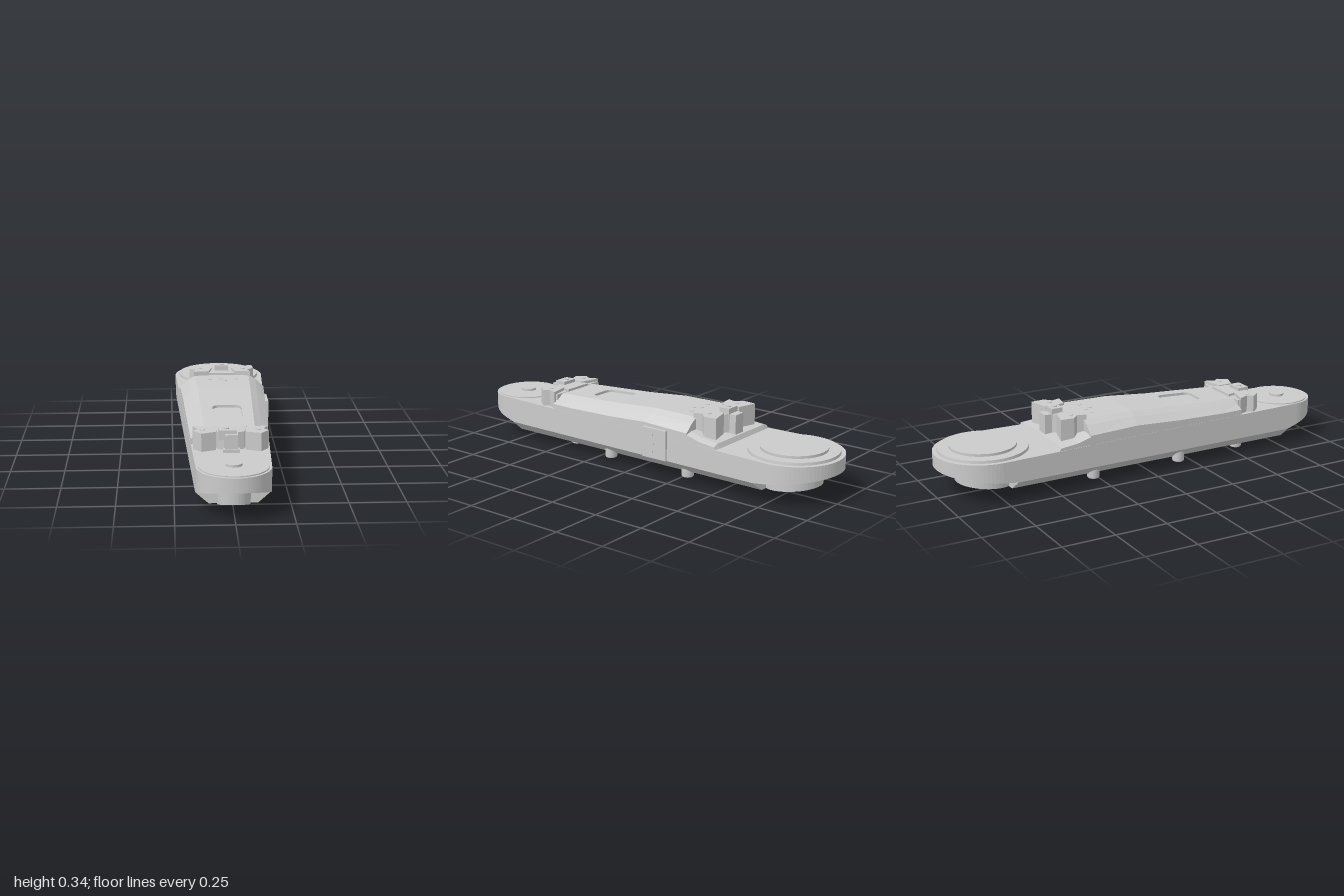
import * as THREE from 'three';

const grey = new THREE.MeshStandardMaterial({ color: 0xcccccc });
const halfWidth = (z) => 0.1955 - 0.0422 * z;   // tapering plan outline
const bottomY = (z) => 0.033 - 0.01 * z;        // slightly sloping underside
const sideLowY = (z) => 0.086 - 0.013 * z;      // lower edge of the side walls
const FRONT = { s: 1, z: 0.84, r: 0.16, join: 0.8 };
const REAR = { s: -1, z: -0.772, r: 0.228, join: -0.7 };

// Skin over a row of equal rings of [x, y, z]; faces listed in skip are left open
function loft(rings, caps, skip = () => false) {
  const pos = [], n = rings[0].length;
  const tri = (a, b, c) => pos.push(...a, ...b, ...c);
  for (let k = 0; k < rings.length - 1; k++) {
    for (let i = 0; i < n; i++) {
      if (skip(k, i)) continue;
      const j = (i + 1) % n;
      const a = rings[k][i], b = rings[k][j], c = rings[k + 1][j], d = rings[k + 1][i];
      tri(a, d, c);
      tri(a, c, b);
    }
  }
  if (caps) {
    const f = rings[0], l = rings[rings.length - 1];
    for (let i = 1; i < n - 1; i++) {
      tri(f[0], f[i], f[i + 1]);
      tri(l[0], l[i + 1], l[i]);
    }
  }
  const g = new THREE.BufferGeometry();
  g.setAttribute('position', new THREE.Float32BufferAttribute(pos, 3));
  g.computeVertexNormals();
  return g;
}

// Flat plate drawn in (x, z), its upper face at y = top(z)
function plate(points, holes, depth, top) {
  const shape = new THREE.Shape(points.map((p) => new THREE.Vector2(...p)));
  shape.holes.push(...holes);
  const g = new THREE.ExtrudeGeometry(shape, { depth, bevelEnabled: false, curveSegments: 12 });
  g.rotateX(Math.PI / 2);
  const p = g.attributes.position;
  for (let i = 0; i < p.count; i++) p.setY(i, p.getY(i) + top(p.getZ(i)));
  g.computeVertexNormals();
  return g;
}

const ellipse = (x, z, rx, rz) => new THREE.Path().absellipse(x, z, rx, rz, 0, Math.PI * 2, true);
function roundedRect(x0, x1, z0, z1, r) {
  const p = new THREE.Path();
  p.absarc(x1 - r, z1 - r, r, 0, Math.PI / 2);
  p.absarc(x0 + r, z1 - r, r, Math.PI / 2, Math.PI);
  p.absarc(x0 + r, z0 + r, r, Math.PI, Math.PI * 1.5);
  p.absarc(x1 - r, z0 + r, r, Math.PI * 1.5, Math.PI * 2);
  p.closePath();
  return p;
}

export function createModel() {
  const model = new THREE.Group();
  const add = (name, geometry, x = 0, y = 0, z = 0) => {
    const m = new THREE.Mesh(geometry, grey);
    m.name = name;
    m.position.set(x, y, z);
    model.add(m);
    return m;
  };
  const disc = (name, r, y0, y1, x, z, rTop = r) =>
    add(name, new THREE.CylinderGeometry(rTop, r, y1 - y0, r > 0.1 ? 64 : 24), x, (y0 + y1) / 2, z);
  const box = (name, x0, x1, y0, y1, z0, z1) =>
    add(name, new THREE.BoxGeometry(x1 - x0, y1 - y0, z1 - z0), (x0 + x1) / 2, (y0 + y1) / 2, (z0 + z1) / 2);

  // Hull with chamfered lower edges, open below for the floor plate
  const hullRing = (z) => {
    const w = halfWidth(z), b = w * 0.65, lo = bottomY(z), c = sideLowY(z);
    return [[b, lo, z], [w, c, z], [w, 0.2, z], [-w, 0.2, z], [-w, c, z], [-b, lo, z]];
  };
  add('hull', loft([0.8, -0.7].map(hullRing), true, (k, i) => i === 5));

  // Floor plate with centre slot, end pockets and small holes
  const bf = halfWidth(0.8) * 0.65, br = halfWidth(-0.7) * 0.65;
  const floorHoles = [
    roundedRect(-0.035, 0.035, -0.29, 0.2, 0.034),
    ellipse(0, 0.73, 0.075, 0.04), ellipse(0, -0.61, 0.1, 0.055),
    ellipse(0.045, 0.31, 0.008, 0.008), ellipse(-0.045, 0.31, 0.008, 0.008),
  ];
  add('floorPlate', plate([[-bf, 0.8], [bf, 0.8], [br, -0.7], [-br, -0.7]], floorHoles, 0.03,
    (z) => bottomY(z) + 0.03));
  box('pocketCeiling', -0.105, 0.105, 0.06, 0.085, -0.69, 0.79);

  // Rounded end shells: roof with a rim arching up towards the tip
  for (const e of [FRONT, REAR]) {
    const ring = (x, z, zc) => {
      const t = (Math.abs(z) - Math.abs(e.join)) / (1 - Math.abs(e.join));
      const low = THREE.MathUtils.lerp(sideLowY(e.join), 0.136, t);
      const len = Math.hypot(x, z - zc), k = (len - 0.02) / len;
      const xi = x * k, zi = zc + (z - zc) * k;
      return [[0, 0.2, zc], [x, 0.2, z], [x, low, z], [xi, low, zi], [xi, 0.165, zi], [0, 0.165, zc]];
    };
    const w = halfWidth(e.join), rings = [ring(e.s * w, e.join, e.join)];
    for (let i = 0; i <= 40; i++) {
      const a = (i / 40) * Math.PI;
      rings.push(ring(e.s * e.r * Math.cos(a), e.z + e.s * e.r * Math.sin(a), e.z));
    }
    rings.push(ring(-e.s * w, e.join, e.join));
    add(e.s > 0 ? 'frontShell' : 'rearShell', loft(rings, false));

    // Hub below the shell, its underside sloping up to the tip
    const r = e.s > 0 ? 0.076 : 0.14;
    const hub = new THREE.CylinderGeometry(r, r - 0.006, 0.17, 48);
    const p = hub.attributes.position, base = bottomY(e.join);
    for (let i = 0; i < p.count; i++) {
      const over = Math.max(0, Math.abs(p.getZ(i) + e.z) - Math.abs(e.join));
      p.setY(i, p.getY(i) > 0 ? 0.18 : base + over * (e.s > 0 ? 0.26 : 0.1));
    }
    hub.computeVertexNormals();
    add(e.s > 0 ? 'frontHub' : 'rearHub', hub.toNonIndexed(), 0, 0, e.z).geometry.computeVertexNormals();
  }

  // Joint caps
  disc('frontCap', 0.15, 0.19, 0.205, 0, 0.838);
  disc('frontCapBoss', 0.036, 0.2, 0.216, 0, 0.838);
  disc('rearCap', 0.209, 0.19, 0.213, 0, -0.772, 0.206);
  disc('rearCapCentre', 0.153, 0.2, 0.225, 0, -0.772);

  // Raised cover: z, ridge height, shoulder height
  const stations = [[0.51, 0.266, 0.225], [0.4, 0.272, 0.225], [0.14, 0.285, 0.235],
    [-0.08, 0.303, 0.25], [-0.33, 0.304, 0.245]];
  const coverRing = ([z, top, side]) => {
    const w = halfWidth(z) - 0.001;
    const half = [[w, 0.19], [w, side], [w * 0.8, top - 0.02], [w * 0.64, top]];
    return [...half, ...half.slice().reverse().map(([x, y]) => [-x, y])].map(([x, y]) => [x, y, z]);
  };
  add('cover', loft(stations.map(coverRing), true, (k, i) => k === 1 && i === 3));

  // Cover panel with a recessed window
  const slope = (z) => 0.285 - (z - 0.14) * 0.05;
  const pf = (halfWidth(0.4) - 0.001) * 0.64, pr = (halfWidth(0.14) - 0.001) * 0.64;
  const panel = [[-pf, 0.4], [pf, 0.4], [pr, 0.14], [-pr, 0.14]];
  add('coverPanel', plate(panel, [roundedRect(-0.066, 0.066, 0.17, 0.35, 0.03)], 0.012, slope));
  add('windowFloor', plate(panel, [], 0.005, (z) => slope(z) - 0.012));

  // Shoulder sloping down behind the cover
  const shoulder = [[-0.32, 0.25], [-0.4, 0.23], [-0.485, 0.222], [-0.495, 0.2]].map(([z, y]) => {
    const w = halfWidth(z) - 0.002;
    return [[w, 0.18, z], [w, Math.max(0.19, y - 0.01), z], [w * 0.85, y, z],
      [-w * 0.85, y, z], [-w, Math.max(0.19, y - 0.01), z], [-w, 0.18, z]];
  });
  add('rearShoulder', loft(shoulder, true));

  // Clamps: mirrored pads around a centre block
  const clamp = (name, pad, centre, y0, padTop, midTop) => {
    for (const s of [1, -1]) {
      const pts = pad.map(([x, z]) => [x * s, z]);
      add(name + 'Pad', plate(pts, [], padTop - y0, () => padTop));
      const cx = pad.reduce((t, p) => t + p[0], 0) / pad.length;
      const cz = pad.reduce((t, p) => t + p[1], 0) / pad.length;
      disc(name + 'PadPin', 0.011, padTop - 0.01, padTop + 0.003, cx * s, cz);
    }
    add(name + 'Centre', plate(centre, [], midTop - y0, () => midTop));
  };
  clamp('frontClamp', [[0.062, 0.535], [0.165, 0.51], [0.145, 0.56], [0.165, 0.585], [0.13, 0.63], [0.065, 0.605]],
    [[-0.075, 0.5], [0.075, 0.5], [0.058, 0.59], [0.03, 0.6], [0.028, 0.645], [-0.028, 0.645], [-0.03, 0.6], [-0.058, 0.59]],
    0.19, 0.282, 0.278);
  box('frontLatch', -0.055, 0.025, 0.25, 0.294, 0.57, 0.625);
  disc('frontLatchPin', 0.012, 0.28, 0.299, -0.02, 0.595);
  box('frontLatchFoot', -0.036, 0.036, 0.195, 0.215, 0.62, 0.652);
  box('frontClampLip', -0.15, 0.15, 0.2, 0.268, 0.505, 0.53);

  clamp('rearClamp', [[0.05, -0.4], [0.065, -0.33], [0.14, -0.318], [0.128, -0.36], [0.16, -0.39], [0.155, -0.455], [0.06, -0.43]],
    [[-0.075, -0.33], [0.075, -0.33], [0.055, -0.42], [0.03, -0.44], [0.03, -0.475], [-0.03, -0.475], [-0.03, -0.44], [-0.055, -0.42]],
    0.2, 0.325, 0.315);
  box('rearLatch', -0.033, 0.033, 0.29, 0.34, -0.44, -0.385);
  disc('rearLatchPin', 0.013, 0.33, 0.345, 0, -0.412);

  // Small studs on the cover ahead of the rear clamp
  for (const [x, z] of [[-0.065, -0.25], [-0.01, -0.255], [0.065, -0.25], [0.01, -0.225]]) {
    disc('coverStud', 0.01, 0.295, 0.306, x, z);
  }

  // Side plate with three screws
  box('sidePlate', 0.19, 0.215, 0.09, 0.233, -0.215, -0.08);
  for (const [y, z] of [[0.125, -0.135], [0.16, -0.14], [0.205, -0.135]]) {
    add('sideScrew', new THREE.CylinderGeometry(0.009, 0.009, 0.006, 16), 0.215, y, z).rotation.z = Math.PI / 2;
  }

  // Hollow feet under the floor: x, z, lowest height
  const feet = [[0.13, 0.18, 0.01], [-0.13, 0.18, 0.01], [0.13, -0.28, 0.01], [-0.13, -0.28, 0.01],
    [0.065, -0.37, 0.02], [-0.065, -0.37, 0.02], [0.04, 0.475, 0], [-0.067, 0.55, 0]];
  for (const [x, z, y] of feet) {
    const profile = [[0, y + 0.015], [0.011, y + 0.015], [0.011, y], [0.025, y], [0.029, y + 0.005], [0.029, 0.07]];
    const g = new THREE.LatheGeometry(profile.map((p) => new THREE.Vector2(...p)), 24);
    add('foot', g, x, 0, z);
  }
  return model;
}
